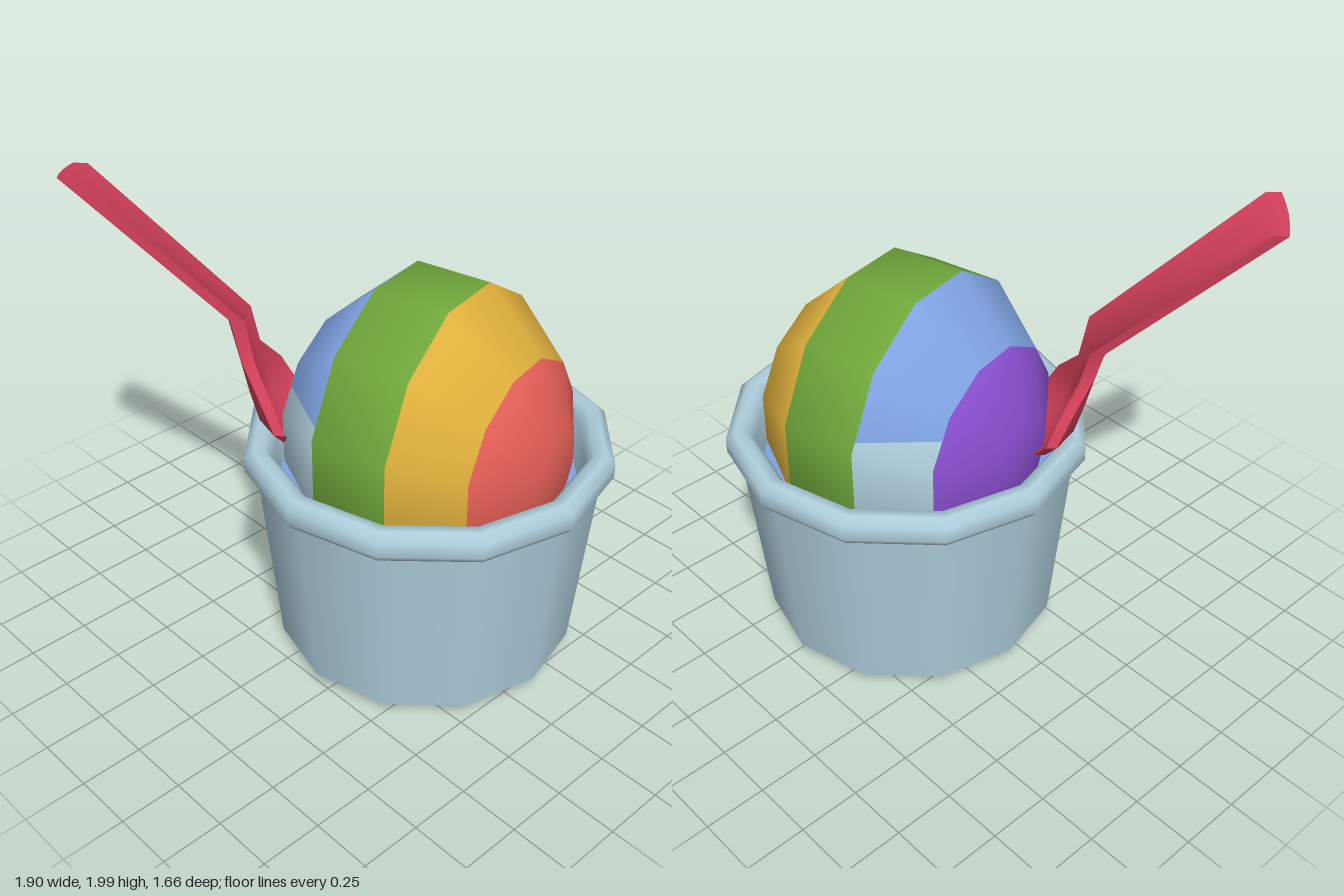
import * as THREE from 'three';
import { toCreasedNormals } from 'three/addons/utils/BufferGeometryUtils.js';

const mat = (name, color) => {
  const m = new THREE.MeshStandardMaterial({ color });
  m.name = name;
  return m;
};

function add(parent, name, geometry, material) {
  const mesh = new THREE.Mesh(geometry, material);
  mesh.name = name;
  parent.add(mesh);
  return mesh;
}

const lathe = (points) =>
  new THREE.LatheGeometry(points.map(([r, y]) => new THREE.Vector2(r, y)), 12);

// Scoop: rings along the local x axis, [x, half depth, half height]
const RINGS = [
  [-0.568, 0, 0], [-0.558, 0.15, 0.17], [-0.415, 0.41, 0.4], [-0.16, 0.57, 0.63],
  [0.16, 0.57, 0.63], [0.415, 0.41, 0.4], [0.558, 0.15, 0.17], [0.568, 0, 0],
];

// Point on a twelve-sided ring; u counts sides, fractions lie along a side
function ringPoint([x, rz, ry], u) {
  const corner = (i) => {
    const a = (i + 0.5) * Math.PI / 6;
    return new THREE.Vector3(x, Math.cos(a) * ry, Math.sin(a) * rz);
  };
  const i = Math.floor(u);
  return corner(i).lerp(corner(i + 1), u - i);
}

// Strip between neighbouring rings; rows give [u on first ring, u on second ring]
function band(from, to, rows) {
  const pos = [], nor = [], index = [];
  for (let k = from; k < to; k++) {
    const base = pos.length / 3;
    rows.forEach(([ua, ub], j) => {
      for (const p of [ringPoint(RINGS[k], ua), ringPoint(RINGS[k + 1], ub)]) {
        pos.push(p.x, p.y, p.z);
        const n = new THREE.Vector3(p.x / 0.336, p.y / 0.38, p.z / 0.336).normalize();
        nor.push(n.x, n.y, n.z);
      }
      if (j) {
        const a = base + 2 * j - 2;
        index.push(a, a + 2, a + 1, a + 1, a + 2, a + 3);
      }
    });
  }
  const g = new THREE.BufferGeometry();
  g.setAttribute('position', new THREE.Float32BufferAttribute(pos, 3));
  g.setAttribute('normal', new THREE.Float32BufferAttribute(nor, 3));
  g.setIndex(index);
  return g;
}

// Spoon: lofted curved sections, from the handle end down to the bowl tip
function spoonGeometry() {
  const w = new THREE.Vector3(0.7, 0, 0.71), n = new THREE.Vector3(-0.71, 0, 0.7);
  // x, y, z, half width, half thickness, bulge, tilt
  const rows = [
    [-0.85, 1.965, 0.73, 0.125, 0.028, 0.01, 0.022],
    [-0.385, 1.41, 0.35, 0.1, 0.028, 0.02, 0.02],
    [-0.35, 1.25, 0.335, 0.095, 0.025, 0.02, 0],
    [-0.29, 1.13, 0.29, 0.19, 0.022, 0.07, 0],
    [-0.25, 1.02, 0.26, 0.23, 0.02, 0.09, 0],
    [-0.22, 0.95, 0.23, 0.18, 0.02, 0.06, 0],
    [-0.19, 0.89, 0.2, 0.07, 0.015, 0.02, 0],
  ];
  const vs = [-1, -0.5, 0, 0.5, 1], N = 2 * vs.length;
  const pos = [], index = [];
  for (const [x, y, z, hw, t, bulge, tilt] of rows) {
    const put = (v, side) => {
      const p = new THREE.Vector3(x, y + tilt * v, z)
        .addScaledVector(w, hw * v)
        .addScaledVector(n, bulge * (1 - v * v) + side * t);
      pos.push(p.x, p.y, p.z);
    };
    vs.forEach((v) => put(v, 1));
    vs.forEach((v) => put(-v, -1));
  }
  for (let r = 0; r < rows.length - 1; r++) {
    for (let j = 0; j < N; j++) {
      const a = r * N + j, b = r * N + (j + 1) % N;
      index.push(a, a + N, b, b, a + N, b + N);
    }
  }
  // End caps, closed as strips between outer and inner edges
  const last = (rows.length - 1) * N;
  for (let j = 0; j < vs.length - 1; j++) {
    const a = j, b = j + 1, c = N - 2 - j, d = N - 1 - j;
    index.push(a, b, c, a, c, d);
    index.push(last + a, last + c, last + b, last + a, last + d, last + c);
  }
  const g = new THREE.BufferGeometry();
  g.setAttribute('position', new THREE.Float32BufferAttribute(pos, 3));
  g.setIndex(index);
  return toCreasedNormals(g, 0.9);
}

export function createModel() {
  const pale = mat('pale blue', 0xafcfdd);
  const blue = mat('blue', 0x7fa3e2);
  const green = mat('green', 0x6fa63a);
  const yellow = mat('yellow', 0xdfb03c);
  const red = mat('coral red', 0xe66058);
  const violet = mat('violet', 0x8a4fd0);
  const crimson = mat('crimson', 0xd2405a);

  const model = new THREE.Group();
  model.name = 'iceCreamCup';

  // Cup
  const cup = new THREE.Group();
  cup.name = 'cup';
  cup.position.set(0.21, 0, -0.09);
  model.add(cup);
  add(cup, 'cupBase', lathe([[0.545, 0.01], [0.61, 0.06]]), pale);
  add(cup, 'cupWall', lathe([[0.61, 0.06], [0.688, 0.86]]), pale);
  add(cup, 'cupRim', lathe([
    [0.685, 0.852], [0.72, 0.855], [0.735, 0.88], [0.735, 0.94], [0.7, 0.968],
    [0.655, 0.965], [0.62, 0.92], [0.6, 0.8],
  ]), pale);
  add(cup, 'cupBottom', lathe([[0, 0], [0.54, 0], [0.545, 0.01]]), blue);
  add(cup, 'cupFilling', lathe([[0.605, 0.81], [0, 0.81]]), blue);

  // Striped scoop
  const scoop = new THREE.Group();
  scoop.name = 'scoop';
  scoop.position.set(0.21, 0.985, -0.09);
  scoop.rotation.y = 0.21;
  model.add(scoop);
  const run = (a, b) => Array.from({ length: b - a + 1 }, (_, i) => [a + i, a + i]);
  const full = run(0, 12);
  add(scoop, 'violetEnd', band(0, 2, full), violet);
  add(scoop, 'blueStripe',
    band(2, 3, [[-2.436, -2.85], ...run(-2, 1), [1.436, 1.85]]), blue);
  add(scoop, 'paleStripe',
    band(2, 3, [[1.436, 1.85], ...run(2, 9), [9.564, 9.15]]), pale);
  add(scoop, 'greenStripe', band(3, 4, full), green);
  add(scoop, 'yellowStripe', band(4, 5, full), yellow);
  add(scoop, 'redEnd', band(5, 7, full), red);

  // Spoon
  add(model, 'spoon', spoonGeometry(), crimson);
  return model;
}
